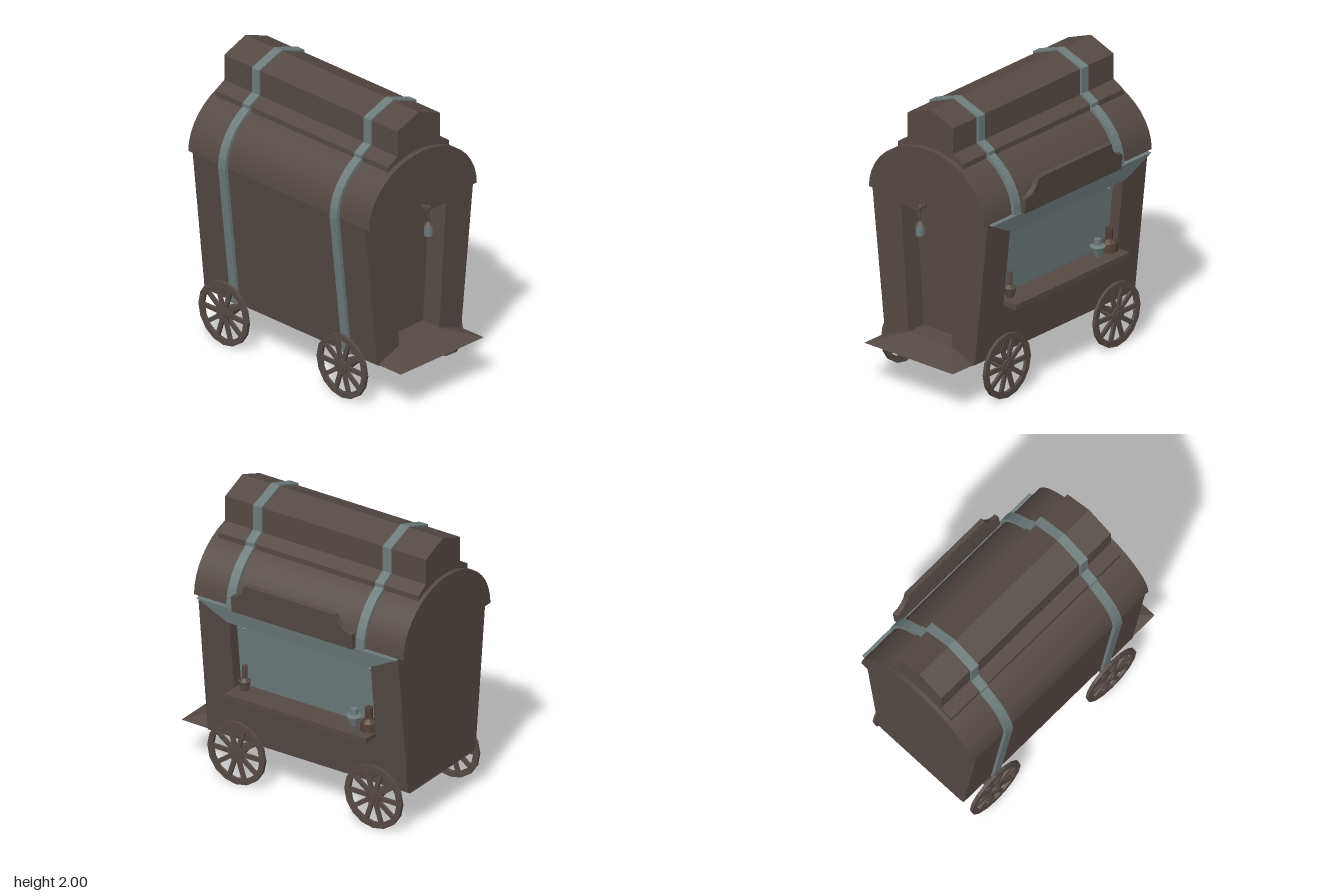
import * as THREE from 'three';
import { toCreasedNormals } from 'three/addons/utils/BufferGeometryUtils.js';

const CX = -0.03; // centre line of the wagon
const mat = (name, color) => {
  const m = new THREE.MeshStandardMaterial({ color, side: THREE.DoubleSide });
  m.name = name;
  return m;
};

export function createModel() {
  const wood = mat('dark wood', 0x544a45);
  const trim = mat('grey trim', 0x6f7b7c);
  const clay = mat('red brown', 0x533f37);
  const root = new THREE.Group();
  root.name = 'marketWagon';

  const add = (name, geo, material, parent = root, x = 0, y = 0, z = 0) => {
    const m = new THREE.Mesh(geo, material);
    m.name = name;
    m.position.set(x, y, z);
    parent.add(m);
    return m;
  };
  // Flat faces from four-corner loops
  const quads = (list) => {
    const p = [];
    for (const [a, b, c, d] of list) p.push(...a, ...b, ...c, ...a, ...c, ...d);
    const g = new THREE.BufferGeometry();
    g.setAttribute('position', new THREE.Float32BufferAttribute(p, 3));
    g.computeVertexNormals();
    return g;
  };
  // Side-to-side profile extruded along z
  const prism = (pts, z0, z1) => {
    const s = new THREE.Shape(pts.map(([x, y]) => new THREE.Vector2(x, y)));
    return new THREE.ExtrudeGeometry(s, { depth: z1 - z0, bevelEnabled: false }).translate(CX, 0, z0);
  };
  const lathe = (pts, n) => {
    const g = new THREE.LatheGeometry(pts.map(([r, y]) => new THREE.Vector2(r, y)), n);
    return toCreasedNormals(g, 0.3);
  };

  // Body shell, widening upward
  const Y0 = 0.3, Y1 = 1.32, ZF = 0.7, ZB = -0.87;
  const hw = (y) => 0.385 + 0.11 * (y - Y0) / (Y1 - Y0);
  const P = (s, y, z, inset = 0) => [CX + s * (hw(y) - inset), y, z];
  const recess = (outer, inner, deep) => {
    const faces = [];
    for (let i = 0; i < 4; i++) {
      const j = (i + 1) % 4;
      faces.push([outer[i], outer[j], inner[j], inner[i]], [inner[i], inner[j], deep[j], deep[i]]);
    }
    return faces;
  };
  add('backAndLeftWalls', quads([
    [P(-1, Y0, ZB), P(-1, Y0, ZF), P(-1, Y1, ZF), P(-1, Y1, ZB)],
    [P(1, Y0, ZB), P(-1, Y0, ZB), P(-1, Y1, ZB), P(1, Y1, ZB)],
  ]), wood);

  // Front wall with recessed door
  const door = (z) => [[-0.185, 0.37], [0.185, 0.37], [0.245, 1.25], [-0.245, 1.25]].map(([x, y]) => [CX + x, y, z]);
  add('frontWall', quads(recess(
    [P(-1, Y0, ZF), P(1, Y0, ZF), P(1, Y1, ZF), P(-1, Y1, ZF)], door(ZF), door(0.55))), wood);
  add('door', quads([door(0.55)]), wood);

  // Serving side with recessed window
  const win = (inset) => [[0.69, 0.465], [0.69, -0.645], [1.2, -0.645], [1.2, 0.465]].map(([y, z]) => P(1, y, z, inset));
  add('servingWall', quads(recess(
    [P(1, Y0, ZF), P(1, Y0, ZB), P(1, Y1, ZB), P(1, Y1, ZF)], win(0), win(0.08))), wood);
  add('windowPanel', quads([win(0.08)]), trim);
  for (const z of [0.4, -0.585]) add('windowKnob', new THREE.OctahedronGeometry(0.016), trim, root, 0.375, 1.13, z);
  add('floor', prism([[-0.36, 0.285], [0.36, 0.285], [0.385, 0.302], [-0.385, 0.302]], ZB, ZF), wood);

  // Sloping porch step
  const A = [CX - 0.38, 0.305, 0.91], B = [CX + 0.38, 0.305, 0.91];
  const C = [CX + 0.185, 0.37, ZF], D = [CX - 0.185, 0.37, ZF];
  const E = [CX + 0.38, 0.303, ZF], F = [CX - 0.38, 0.303, ZF];
  add('porchStep', quads([[A, B, C, D], [B, E, C, C], [F, A, D, D], [F, E, B, A]]), wood);

  // Arched roof
  const arc = (rx, ry, from, to, n) => Array.from({ length: n + 1 }, (_, i) => {
    const a = from + (to - from) * i / n;
    return [rx * Math.cos(a), Y1 + ry * Math.sin(a)];
  });
  add('roof', toCreasedNormals(prism(arc(0.495, 0.405, 0, Math.PI, 20), -0.91, 0.733), 0.5), wood);

  // Raised roof lantern running the full length
  const half = [[0.28, 1.6], [0.28, 1.69], [0.195, 1.738], [0.195, 1.918], [0, 1.993]];
  const mirror = (pts) => pts.slice(0, -1).reverse().map(([x, y]) => [-x, y]);
  add('raisedRoof', prism([...half, ...mirror(half)], -0.88, 0.695), wood);

  // Straps over the roof and down the closed side
  const cut = Math.acos(0.295 / 0.52);
  const strapHalf = [...arc(0.52, 0.43, 0, cut, 6), [0.295, 1.7], [0.21, 1.748], [0.21, 1.926], [0, 2]];
  const strap = [...strapHalf, ...mirror(strapHalf), [-0.405, Y0], [-0.37, Y0], [-0.47, 1.34], [0.47, 1.34], [0.47, Y1]];
  for (const z of [0.4, -0.615]) add('roofStrap', prism(strap, z, z + 0.065), trim);

  // Awning board above the window
  const awn = (top, out) => top
    ? [[out ? 0.498 : 0.46, 1.32, 0.69], [out ? 0.498 : 0.46, 1.32, -0.87]]
    : [[out ? 0.478 : 0.445, 1.2, 0.465], [out ? 0.478 : 0.445, 1.2, -0.645]];
  const [t0, t1] = awn(true, true), [b0, b1] = awn(false, true);
  const [i0, i1] = awn(true, false), [j0, j1] = awn(false, false);
  add('awningFace', quads([[b0, b1, t1, t0], [t0, t1, i1, i0]]), trim);
  add('awningEdges', quads([[j0, j1, b1, b0], [j0, b0, t0, i0], [b1, j1, i1, t1]]), wood);

  // Leaning sign board with scooped shoulders
  const s = new THREE.Shape();
  s.moveTo(-0.4, 0);
  s.lineTo(0.55, 0);
  s.lineTo(0.55, 0.11);
  s.quadraticCurveTo(0.45, 0.12, 0.425, 0.23);
  s.lineTo(-0.285, 0.23);
  s.quadraticCurveTo(-0.31, 0.12, -0.4, 0.11);
  const signGeo = new THREE.ExtrudeGeometry(s, { depth: 0.035, bevelEnabled: false, curveSegments: 4 });
  signGeo.rotateY(Math.PI / 2).rotateZ(-0.12);
  add('signBoard', signGeo, wood, root, 0.483, 1.32, 0);

  // Counter and the goods on it
  add('counter', new THREE.BoxGeometry(0.115, 0.035, 1.11), wood, root, 0.4475, 0.673, -0.09);
  const goods = [
    ['flask', wood, 0.39, [[0, 0], [0.025, 0], [0.043, 0.07], [0.017, 0.09], [0.017, 0.18], [0, 0.18]]],
    ['jar', trim, -0.47, [[0, 0], [0.03, 0], [0.056, 0.07], [0.024, 0.08], [0.024, 0.12], [0, 0.12]]],
    ['jug', clay, -0.585, [[0, 0], [0.06, 0], [0.056, 0.06], [0.025, 0.085], [0.025, 0.165], [0, 0.165]]],
  ];
  for (const [name, m, z, pts] of goods) add(name, lathe(pts, 8), m, root, 0.385, 0.69, z);

  // Hanging front lantern
  const lantern = new THREE.Group();
  lantern.name = 'hangingLantern';
  lantern.position.set(CX - 0.005, 0, 0.79);
  root.add(lantern);
  add('lanternBracket', new THREE.BoxGeometry(0.018, 0.02, 0.07), wood, lantern, 0, 1.33, -0.025);
  add('lanternHook', new THREE.SphereGeometry(0.02, 6, 4).scale(0.7, 1.4, 0.7), wood, lantern, 0, 1.332, 0);
  add('lanternRod', new THREE.CylinderGeometry(0.005, 0.005, 0.1, 6), wood, lantern, 0, 1.27, 0);
  add('lanternCap', new THREE.CylinderGeometry(0.012, 0.036, 0.025, 8), wood, lantern, 0, 1.225, 0);
  add('lanternGlass', new THREE.CylinderGeometry(0.03, 0.03, 0.08, 8), trim, lantern, 0, 1.175, 0);
  add('lanternBase', new THREE.CylinderGeometry(0.034, 0.034, 0.008, 8), wood, lantern, 0, 1.135, 0);

  // Spoked wheels and axles
  const WY = 0.226, R = 0.225;
  const rimGeo = lathe([[0.185, -0.011], [R, -0.011], [R, 0.011], [0.185, 0.011], [0.185, -0.011]], 16).rotateZ(Math.PI / 2);
  const hubGeo = new THREE.CylinderGeometry(0.055, 0.055, 0.04, 12).rotateZ(Math.PI / 2);
  const capGeo = new THREE.CylinderGeometry(0.032, 0.032, 0.055, 10).rotateZ(Math.PI / 2);
  const spokeGeo = new THREE.BoxGeometry(0.018, 0.15, 0.03).translate(0, 0.12, 0);
  for (const z of [0.44, -0.635]) {
    for (const side of [-1, 1]) {
      const wheel = new THREE.Group();
      wheel.name = 'wheel';
      wheel.position.set(CX - 0.005 + side * 0.437, WY, z);
      root.add(wheel);
      add('rim', rimGeo, wood, wheel);
      add('hub', hubGeo, wood, wheel);
      add('hubCap', capGeo, wood, wheel);
      for (let i = 0; i < 10; i++) add('spoke', spokeGeo, wood, wheel).rotation.x = (i + 0.5) * Math.PI / 5;
      const cone = new THREE.CylinderGeometry(0.015, 0.045, 0.18, 8).rotateZ(side * Math.PI / 2);
      add('axleEnd', cone, wood, root, CX + side * 0.33, WY, z);
    }
    add('axle', new THREE.CylinderGeometry(0.015, 0.015, 0.5, 8).rotateZ(Math.PI / 2), wood, root, CX, WY, z);
  }
  add('axleBeam', new THREE.BoxGeometry(0.022, 0.022, 1.07), wood, root, CX, WY + 0.008, -0.0975);

  return root;
}
